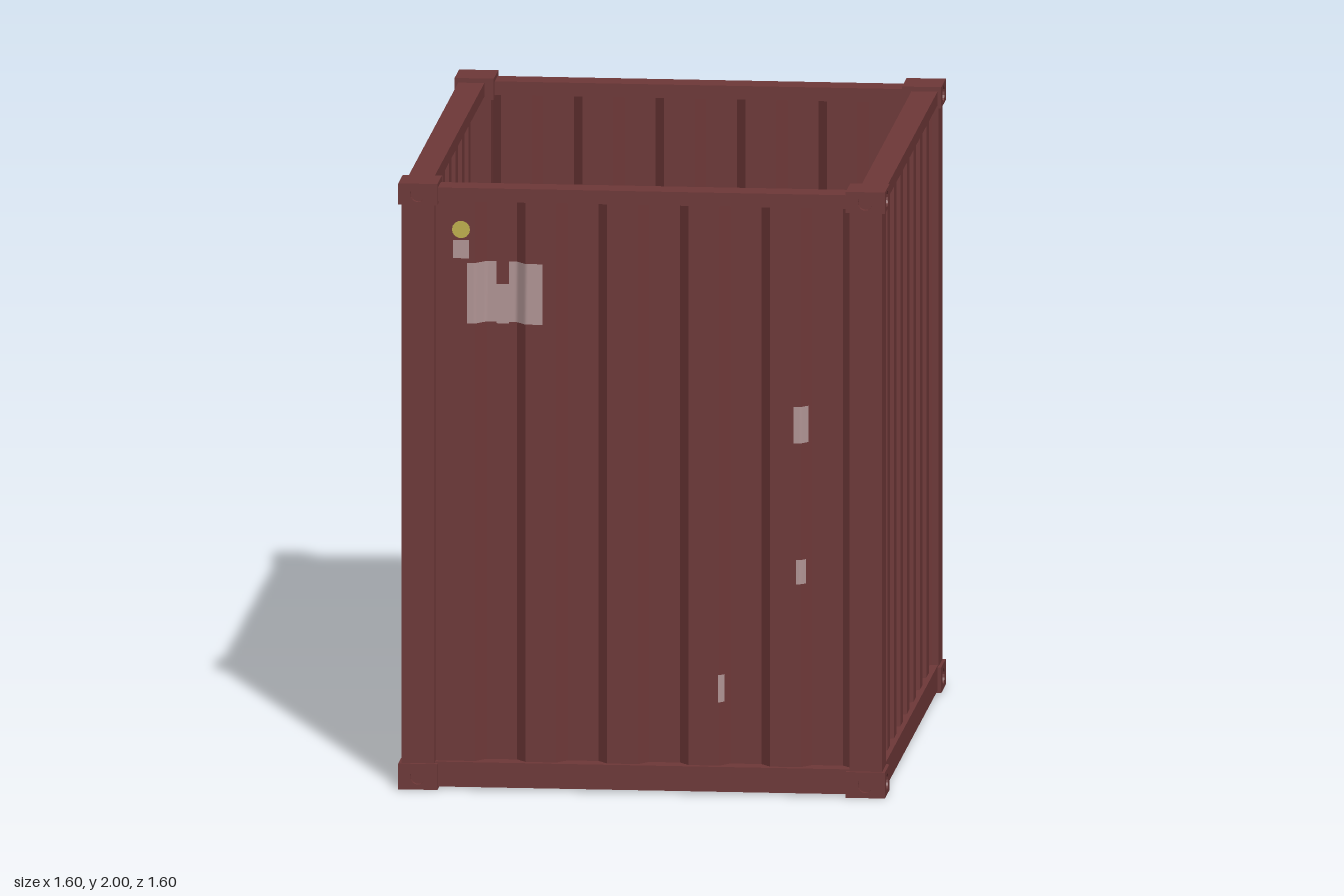
import * as THREE from 'three';

const mat = (name, color) => {
  const m = new THREE.MeshStandardMaterial({ color });
  m.name = name;
  return m;
};

export function createModel() {
  const red = mat('rust red paint', 0x6e3838);
  const redSheet = red;
  redSheet.side = THREE.DoubleSide;
  const grey = mat('worn grey label', 0xb09494);
  const yellow = mat('faded yellow label', 0xbfb04e);

  const model = new THREE.Group();
  model.name = 'openTopContainer';

  // The whole box stands slightly turned and out of square
  const skew = new THREE.Matrix4().set(
    1, 0, 0.03, 0,
    0, 1, 0, 0,
    -0.087, 0, 1, 0,
    0, 0, 0, 1);
  const add = (name, geo, material, parent = model) => {
    geo.applyMatrix4(skew);
    const mesh = new THREE.Mesh(geo, material);
    mesh.name = name;
    parent.add(mesh);
  };
  const box = (name, x0, x1, y0, y1, z0, z1, parent) => {
    const g = new THREE.BoxGeometry(x1 - x0, y1 - y0, z1 - z0);
    g.translate((x0 + x1) / 2, (y0 + y1) / 2, (z0 + z1) / 2);
    add(name, g, red, parent);
  };

  const X = 0.777, Z = 0.734; // half width and half depth over the corner castings

  // Corner castings: a core with a holed plate on each outer face
  const plate = (w, h) => {
    const s = new THREE.Shape();
    s.moveTo(-w / 2, -h / 2);
    s.lineTo(w / 2, -h / 2);
    s.lineTo(w / 2, h / 2);
    s.lineTo(-w / 2, h / 2);
    s.closePath();
    const hole = new THREE.Path();
    hole.absellipse(0, 0, 0.024, 0.026, 0, Math.PI * 2, true);
    s.holes.push(hole);
    return new THREE.ExtrudeGeometry(s, { depth: 0.012, bevelEnabled: false, curveSegments: 8 });
  };
  const span = (sign, a, b) => (sign > 0 ? [a, b] : [-b, -a]);
  const W = 0.125, D = 0.11, T = 0.012;
  for (const sx of [-1, 1]) {
    for (const sz of [-1, 1]) {
      for (const [y0, y1] of [[0, 0.085], [1.93, 2]]) {
        const casting = new THREE.Group();
        casting.name = 'cornerCasting';
        model.add(casting);
        box('castingCore', ...span(sx, X - W, X - T), y0, y1, ...span(sz, Z - D, Z - T), casting);
        const front = plate(W, y1 - y0);
        front.rotateY(sz > 0 ? 0 : Math.PI);
        front.translate(sx * (X - W / 2), (y0 + y1) / 2, sz * (Z - T));
        add('castingEndPlate', front, red, casting);
        const side = plate(D, y1 - y0);
        side.rotateY(sx * Math.PI / 2);
        side.translate(sx * (X - T), (y0 + y1) / 2, sz * (Z - D / 2));
        add('castingSidePlate', side, red, casting);
      }
      box('cornerPost', ...span(sx, X - 0.115, X - 0.01), 0.08, 1.935, ...span(sz, Z - 0.1, Z - 0.01));
    }
  }

  // Top and bottom rails
  for (const s of [-1, 1]) {
    for (const [level, y0, y1] of [['bottom', 0.008, 0.09], ['top', 1.94, 1.985]]) {
      box(level + 'EndRail', -X + 0.1, X - 0.1, y0, y1, ...span(s, Z - 0.085, Z - 0.015));
      box(level + 'SideRail', ...span(s, X - 0.095, X - 0.012), y0, y1, -Z + 0.1, Z - 0.1);
    }
  }

  // Floor with a stepped underside
  box('floor', -X + 0.09, X - 0.09, 0.045, 0.09, -Z + 0.08, Z - 0.08);
  box('floorPan', -X + 0.13, X - 0.13, 0.03, 0.046, -Z + 0.12, Z - 0.12);

  // Corrugated walls: each period is out, slope, in, slope
  const breaks = [0, 0.38, 0.5, 0.88];
  const makeWall = (name, angle, dist, half, start, period, count, depth) => {
    const wave = (s) => {
      const f = (((s - start) / period) % 1 + 1) % 1;
      if (f < 0.38) return 0;
      if (f < 0.5) return -depth * (f - 0.38) / 0.12;
      return f < 0.88 ? -depth : -depth * (1 - f) / 0.12;
    };
    const place = (g) => g.rotateY(angle).translate(
      Math.sin(angle) * dist, 0, Math.cos(angle) * dist);

    const stops = [];
    for (let i = 0; i < count; i++) for (const b of breaks) stops.push(start + (i + b) * period);
    stops.push(start + count * period);
    let g = new THREE.PlaneGeometry(1, 1.86, stops.length - 1, 1);
    const p = g.attributes.position;
    for (let i = 0; i < p.count; i++) {
      const k = i % stops.length;
      const x = k === 0 ? -half : k === stops.length - 1 ? half : stops[k];
      const z = k === 0 || k === stops.length - 1 ? 0 : wave(stops[k] + 1e-6);
      p.setXYZ(i, x, p.getY(i) + 1.015, z);
    }
    g = g.toNonIndexed();
    g.computeVertexNormals();
    add(name, place(g), redSheet);

    // Returns a painter for labels that follow the corrugation
    return (label, material, x, y, w, h, round = false) => {
      const d = round ? new THREE.CircleGeometry(w / 2, 14)
        : new THREE.PlaneGeometry(w, h, Math.max(2, Math.ceil(w / 0.006)), 1);
      d.translate(x, y, 0);
      const q = d.attributes.position;
      for (let i = 0; i < q.count; i++) q.setZ(i, wave(q.getX(i)) + 0.006);
      d.computeVertexNormals();
      add(label, place(d), material);
    };
  };
  const frontLabel = makeWall('frontWall', 0, 0.702, 0.67, -0.634, 0.26, 5, 0.03);
  const backLabel = makeWall('backWall', Math.PI, 0.702, 0.67, -0.634, 0.26, 5, 0.03);
  const rightLabel = makeWall('rightWall', -Math.PI / 2, 0.75, 0.64, -0.624, 0.156, 8, 0.035);
  const leftLabel = makeWall('leftWall', Math.PI / 2, 0.75, 0.64, -0.624, 0.156, 8, 0.035);
  // Model left is +x (angle +90), model right is -x (angle -90)

  // Front labels; the large one has a notch in its top edge
  frontLabel('yellowDot', yellow, -0.58, 1.845, 0.058, 0, true);
  frontLabel('greyTag', grey, -0.58, 1.78, 0.05, 0.06);
  frontLabel('largeLabelEdge', grey, -0.515, 1.635, 0.09, 0.2);
  frontLabel('largeLabelMiddle', grey, -0.45, 1.595, 0.04, 0.13);
  frontLabel('largeLabelBody', grey, -0.375, 1.635, 0.11, 0.2);
  frontLabel('scuff', grey, 0.505, 1.22, 0.045, 0.12);
  frontLabel('scuff', grey, 0.505, 0.735, 0.03, 0.08);
  frontLabel('scuff', grey, 0.25, 0.345, 0.02, 0.09);

  // Back labels
  backLabel('yellowDot', yellow, -0.585, 1.85, 0.045, 0, true);
  backLabel('greyLabel', grey, -0.38, 1.61, 0.13, 0.18);

  // Label column and plates on the -x wall
  for (const [y, h] of [[1.88, 0.09], [1.77, 0.07], [1.68, 0.06], [1.6, 0.06]])
    rightLabel('greyMark', grey, -0.55, y, 0.13, h);
  rightLabel('yellowPlate', yellow, -0.55, 0.38, 0.13, 0.27);
  for (const [y, h] of [[1.82, 0.13], [1.65, 0.07], [1.54, 0.06], [1.41, 0.08], [0.83, 0.08]])
    rightLabel('greyMark', grey, 0.52, y, 0.08, h);
  rightLabel('yellowPlate', yellow, 0.52, 1.22, 0.11, 0.23);
  rightLabel('scuff', grey, -0.11, 1.66, 0.04, 0.17);
  rightLabel('scuff', grey, -0.28, 1.48, 0.04, 0.05);

  // Small scuff on the +x wall
  leftLabel('scuff', grey, 0.445, 0.705, 0.025, 0.04);

  return model;
}
